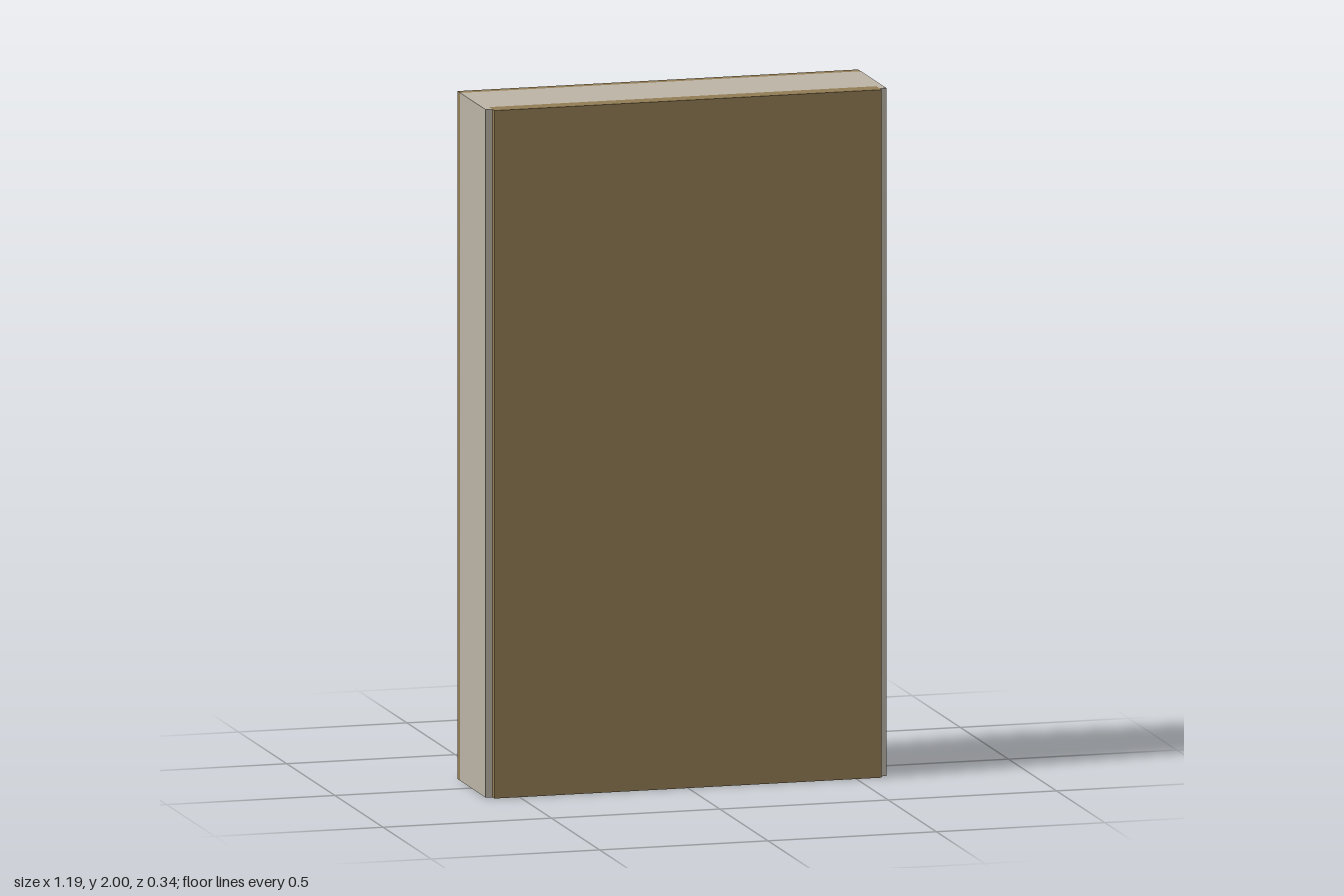
import * as THREE from 'three';

const brown = new THREE.MeshStandardMaterial({ color: 0x927d55 });
brown.name = 'brown wood';
const grey = new THREE.MeshStandardMaterial({ color: 0xbcb4a6 });
grey.name = 'warm grey paint';

const W = 0.595, H = 2, RIM = 0.06;

// Box given by its min and max on each axis
function box(name, mat, [x0, x1], [y0, y1], [z0, z1]) {
  const mesh = new THREE.Mesh(new THREE.BoxGeometry(x1 - x0, y1 - y0, z1 - z0), mat);
  mesh.position.set((x0 + x1) / 2, (y0 + y1) / 2, (z0 + z1) / 2);
  mesh.name = name;
  return mesh;
}

// Eight-sided disc lying along z
function disc(name, mat, rBack, rFront, z0, z1) {
  const geo = new THREE.CylinderGeometry(rFront, rBack, z1 - z0, 8).toNonIndexed();
  geo.rotateY(Math.PI / 8).rotateX(-Math.PI / 2);
  geo.computeVertexNormals();
  const mesh = new THREE.Mesh(geo, mat);
  mesh.position.z = (z0 + z1) / 2;
  mesh.name = name;
  return mesh;
}

// Rectangular ring extruded along z
function ring(name, mat, z0, z1) {
  const shape = new THREE.Shape([[-W, 0], [W, 0], [W, H], [-W, H]].map(p => new THREE.Vector2(...p)));
  const x = W - RIM;
  shape.holes.push(new THREE.Path(
    [[-x, RIM], [-x, H - RIM], [x, H - RIM], [x, RIM]].map(p => new THREE.Vector2(...p))));
  const geo = new THREE.ExtrudeGeometry(shape, { depth: z1 - z0, bevelEnabled: false });
  const mesh = new THREE.Mesh(geo, mat);
  mesh.position.z = z0;
  mesh.name = name;
  return mesh;
}

export function createModel() {
  const model = new THREE.Group();
  model.name = 'panelledDoor';

  // Casing: hollow at the back, with side edges lapping the front board
  model.add(ring('casing', grey, -0.115, 0.115));
  for (const s of [-1, 1]) {
    const xs = [0.575 * s, W * s].sort((a, b) => a - b);
    model.add(box('sideEdge', grey, xs, [0, H], [0.115, 0.15]));
  }
  model.add(box('frontBoard', brown, [-0.575, 0.575], [0, H], [0.115, 0.17]));

  // Back: brown rim around a recessed, slightly raised panel
  model.add(ring('backRim', brown, -0.143, -0.115));
  model.add(box('backing', grey, [-W + RIM, W - RIM], [RIM, H - RIM], [-0.103, 0.11]));
  model.add(box('raisedPanel', grey, [-W + RIM + 0.005, W - RIM - 0.005], [0.085, H - 0.085], [-0.113, -0.1]));

  // Row of studs joined by an upright bar
  const studs = new THREE.Group();
  studs.name = 'studRow';
  studs.position.x = -0.4;
  studs.add(box('bar', brown, [-0.011, 0.011], [0.56, 1.41], [-0.147, -0.11]));
  for (let i = 0; i < 5; i++) {
    const stud = new THREE.Group();
    stud.name = 'stud';
    stud.position.y = 0.56 + i * 0.2125;
    stud.add(disc('studBase', brown, 0.04, 0.04, -0.163, -0.11));
    stud.add(disc('studCap', grey, 0.026, 0.026, -0.172, -0.16));
    // the cap faces backwards
    studs.add(stud);
  }
  model.add(studs);
  return model;
}
